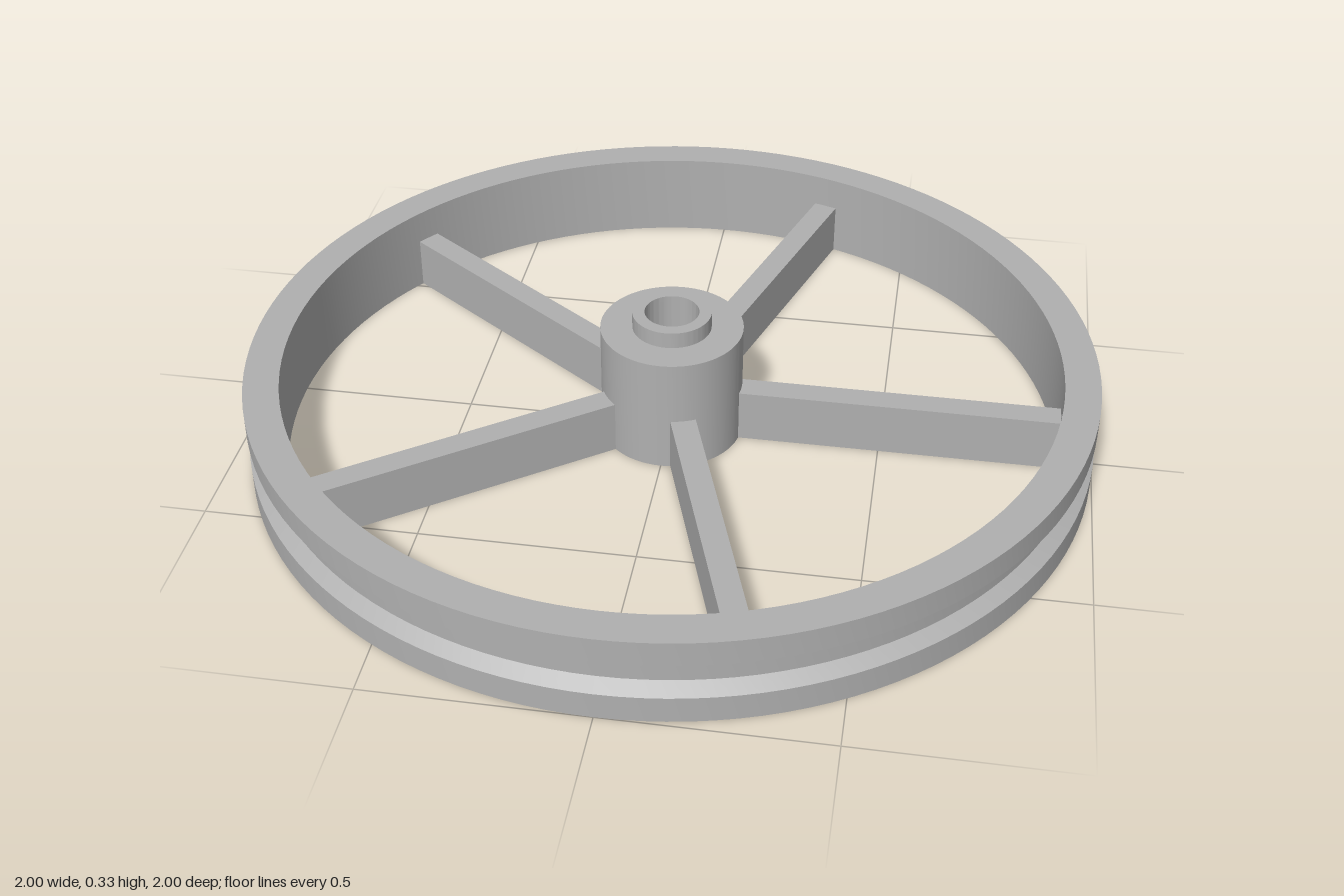
import * as THREE from 'three';
import { toCreasedNormals } from 'three/addons/utils/BufferGeometryUtils.js';

const metal = new THREE.MeshStandardMaterial({ color: 0xb0b0b0 });
metal.name = 'grey metal';

// Closed ring from a profile running up the outside and down the inside
function ring(name, profile) {
  const points = [...profile, profile[0]].map(([r, y]) => new THREE.Vector2(r, y));
  const geometry = toCreasedNormals(new THREE.LatheGeometry(points, 128), Math.PI / 7);
  const mesh = new THREE.Mesh(geometry, metal);
  mesh.name = name;
  return mesh;
}

export function createModel() {
  const group = new THREE.Group();
  group.name = 'spokedWheel';

  // Rim with a belt groove around the outside
  group.add(ring('rim', [
    [0.917, 0], [1, 0], [1, 0.064], [0.967, 0.083],
    [0.967, 0.134], [1, 0.153], [1, 0.213], [0.917, 0.213],
  ]));

  // Hub with a raised collar and a through bore
  group.add(ring('hub', [
    [0.064, 0], [0.168, 0], [0.168, 0.286], [0.093, 0.286], [0.093, 0.326], [0.064, 0.326],
  ]));

  // Five spokes, flush with the underside, ends buried in hub and rim
  const inner = 0.162, outer = 0.921, height = 0.13;
  const spokeGeometry = new THREE.BoxGeometry(outer - inner, height, 0.06);
  spokeGeometry.translate((inner + outer) / 2, height / 2, 0);
  for (let i = 0; i < 5; i++) {
    const spoke = new THREE.Mesh(spokeGeometry, metal);
    spoke.name = `spoke${i + 1}`;
    spoke.rotation.y = (i * Math.PI * 2) / 5;
    group.add(spoke);
  }
  return group;
}
